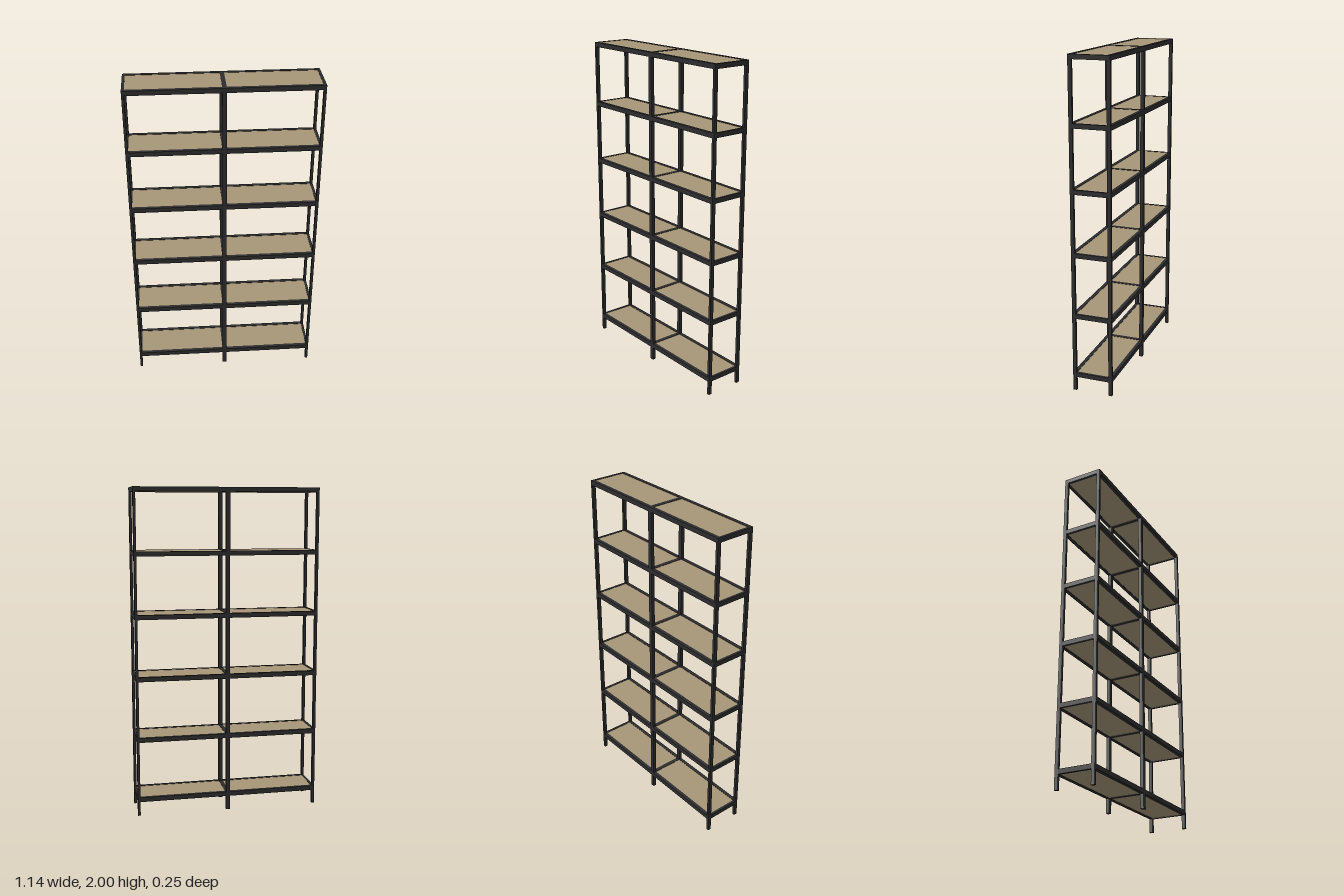
import * as THREE from 'three';

const HALF_W = 0.568, HALF_D = 0.124;
const SIDE = 0.016, MID = 0.025, DEPTH = 0.022; // post widths and depth
const RAIL_H = 0.028, LEVELS = 6, STEP = 0.377;

export function createModel() {
  const model = new THREE.Group();
  model.name = 'shelvingUnit';
  const metal = new THREE.MeshStandardMaterial({ color: 0x2d2d2f });
  const wood = new THREE.MeshStandardMaterial({ color: 0xa69678 });

  const addBox = (parent, name, material, [w, h, d], [x, y, z]) => {
    const mesh = new THREE.Mesh(new THREE.BoxGeometry(w, h, d), material);
    mesh.name = name;
    mesh.position.set(x, y, z);
    parent.add(mesh);
  };

  const postZ = HALF_D - DEPTH / 2;
  const sideX = HALF_W - SIDE / 2;
  const innerD = 2 * (HALF_D - DEPTH);
  const bayW = HALF_W - SIDE - MID / 2;
  const bayX = MID / 2 + bayW / 2;

  // Six uprights: two ends and a wider centre pair
  for (const z of [-postZ, postZ]) {
    for (const s of [-1, 1]) addBox(model, 'endPost', metal, [SIDE, 2, DEPTH], [s * sideX, 1, z]);
    addBox(model, 'centrePost', metal, [MID, 2, DEPTH], [0, 1, z]);
  }

  // Framed shelves, each with two wooden panels
  for (let i = 0; i < LEVELS; i++) {
    const shelf = new THREE.Group();
    shelf.name = 'shelf';
    shelf.position.y = 2 - RAIL_H / 2 - i * STEP;
    model.add(shelf);

    addBox(shelf, 'centreRail', metal, [MID, RAIL_H, innerD], [0, 0, 0]);
    for (const s of [-1, 1]) {
      addBox(shelf, 'endRail', metal, [SIDE, RAIL_H, innerD], [s * sideX, 0, 0]);
      for (const z of [-postZ, postZ])
        addBox(shelf, 'longRail', metal, [bayW, RAIL_H, DEPTH], [s * bayX, 0, z]);
      addBox(shelf, 'panel', wood, [bayW, RAIL_H - 0.004, innerD], [s * bayX, 0, 0]);
    }
  }
  return model;
}
